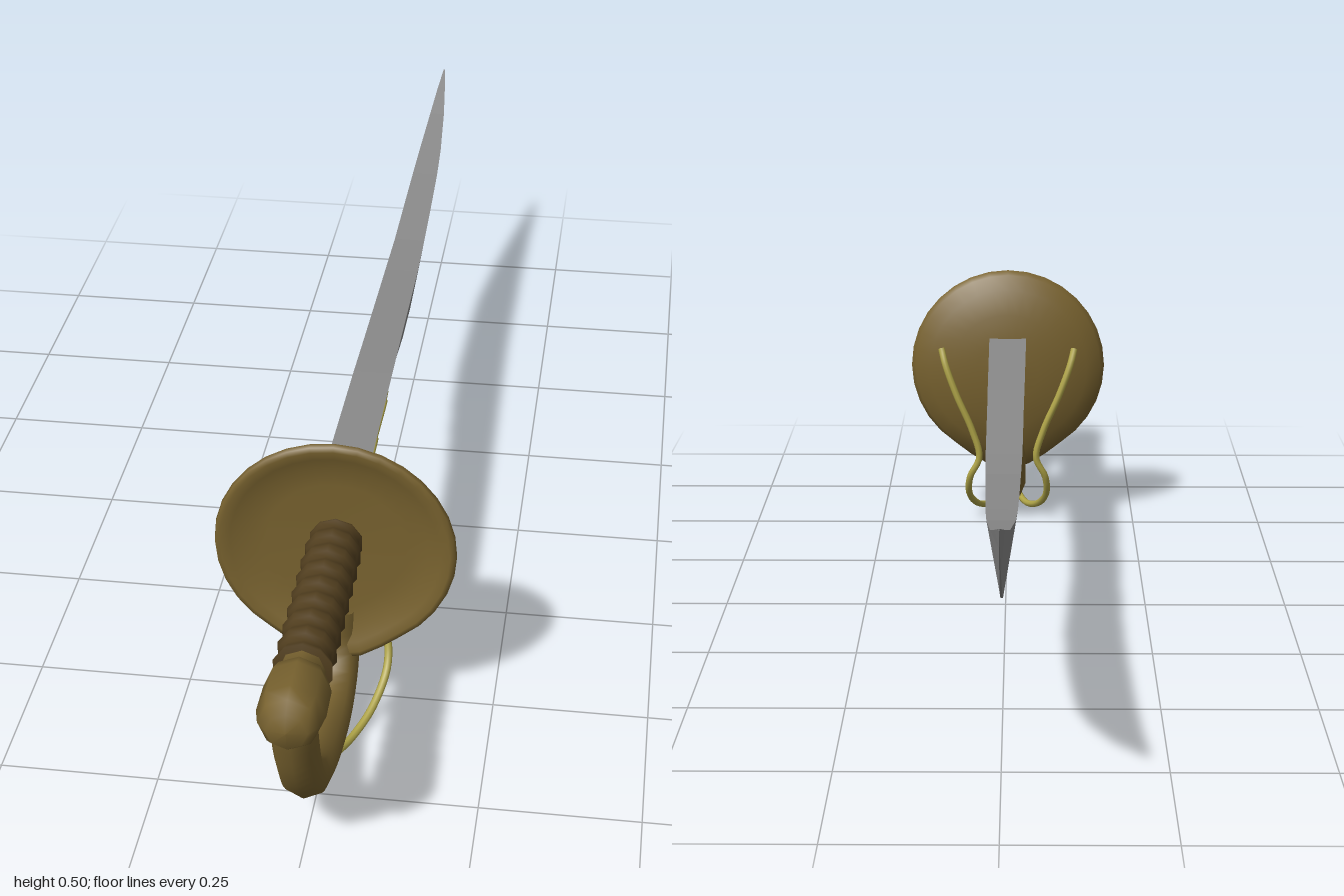
import * as THREE from 'three';

const material = (name, color, side = THREE.FrontSide) => {
  const m = new THREE.MeshStandardMaterial({ color, side });
  m.name = name;
  return m;
};

// Blade stations: z, spine height, edge height, half width of the spine
const STATIONS = [
  [0.5, 0.382, 0.257, 0.036], [0.1, 0.376, 0.266, 0.033], [0, 0.373, 0.26, 0.032],
  [-0.15, 0.368, 0.238, 0.031], [-0.29, 0.364, 0.22, 0.03], [-0.41, 0.365, 0.218, 0.028],
  [-0.55, 0.374, 0.231, 0.026], [-0.66, 0.382, 0.245, 0.024], [-0.75, 0.393, 0.282, 0.021],
  [-0.87, 0.417, 0.352, 0.014], [-0.95, 0.442, 0.415, 0.007], [-1, 0.459, 0.455, 0.001],
];
const EDGE = 0.08; // edge width as a share of the spine width

function bladeGeometry() {
  const pos = [], index = [];
  for (const [z, top, bottom, w] of STATIONS) {
    const e = w * EDGE;
    pos.push(-w, top, z, w, top, z, e, bottom, z, -e, bottom, z);
  }
  const last = STATIONS.length - 1;
  for (let i = 0; i < last; i++) {
    for (let k = 0; k < 4; k++) {
      const a = i * 4 + k, b = i * 4 + (k + 1) % 4;
      index.push(a, b, b + 4, a, b + 4, a + 4);
    }
  }
  const t = last * 4;
  index.push(0, 3, 2, 0, 2, 1, t, t + 1, t + 2, t, t + 2, t + 3);
  const g = new THREE.BufferGeometry();
  g.setAttribute('position', new THREE.Float32BufferAttribute(pos, 3));
  g.setIndex(index);
  const flat = g.toNonIndexed();
  flat.computeVertexNormals();
  return flat;
}

// Half width of the blade at a point on its side
function bladeSide(z, y) {
  let i = 0;
  while (i < STATIONS.length - 2 && z < STATIONS[i + 1][0]) i++;
  const A = STATIONS[i], B = STATIONS[i + 1];
  const t = (A[0] - z) / (A[0] - B[0]);
  const [top, bottom, w] = [1, 2, 3].map(k => A[k] + (B[k] - A[k]) * t);
  return w * (EDGE + (1 - EDGE) * (y - bottom) / (top - bottom));
}

// Lathe turned about the z axis; profile is [radius, z] from back to front
function turned(profile, sides) {
  const g = new THREE.LatheGeometry(profile.map(p => new THREE.Vector2(p[0], p[1])), sides);
  return g.rotateX(Math.PI / 2);
}

function tube(points, radius, steps, sides) {
  const curve = new THREE.CatmullRomCurve3(points.map(p => new THREE.Vector3(...p)));
  return new THREE.TubeGeometry(curve, steps, radius, sides);
}

export function createModel() {
  const model = new THREE.Group();
  const steel = material('steel', 0x8a8a8a);
  const brass = material('brass', 0x78622f);
  const leather = material('leather', 0x523f1f);
  const gold = material('gold', 0xb0a548, THREE.DoubleSide);

  const add = (name, geometry, mat, y = 0) => {
    const mesh = new THREE.Mesh(geometry, mat);
    mesh.name = name;
    mesh.position.y = y;
    model.add(mesh);
  };

  add('blade', bladeGeometry(), steel);

  // Dished guard, drawn out to a point at the bottom
  const guard = turned([
    [0, 0.482], [0.06, 0.485], [0.11, 0.493], [0.155, 0.507], [0.182, 0.524], [0.19, 0.536],
    [0.188, 0.544], [0.18, 0.546], [0.165, 0.542], [0.145, 0.534], [0.11, 0.529], [0, 0.527],
  ], 32);
  const p = guard.attributes.position;
  for (let i = 0; i < p.count; i++) {
    const x = p.getX(i), y = p.getY(i), r = Math.hypot(x, y);
    if (r < 0.1) continue;
    const s = 1 + 0.11 * Math.max(0, (-y / r - 0.89) / 0.11);
    p.setXY(i, x * s, y * s);
  }
  add('guard', guard, brass, 0.318);

  // Ribbed grip
  const ribs = [];
  for (let i = 0; i <= 32; i++) {
    ribs.push([0.042 + 0.0035 * Math.cos(i * Math.PI / 2), 0.52 + 0.33 * i / 32]);
  }
  add('grip', turned([[0, 0.52], ...ribs, [0, 0.852]], 10), leather, 0.323);

  // Collar and pommel
  add('pommel', turned([
    [0.034, 0.845], [0.034, 0.868], [0.042, 0.875], [0.049, 0.895], [0.05, 0.95],
    [0.044, 0.975], [0.03, 0.992], [0, 0.996],
  ], 8), brass, 0.324);

  // Knuckle bow from the pommel round to the foot of the guard
  add('knuckleBow', tube([
    [0, 0.325, 0.94], [0, 0.27, 0.928], [0, 0.2, 0.903], [0, 0.143, 0.865], [0, 0.097, 0.81],
    [0, 0.064, 0.715], [0, 0.054, 0.61], [0, 0.08, 0.545], [0, 0.125, 0.517], [0, 0.19, 0.512],
  ], 0.035, 32, 8), brass);

  // Scrollwork paths on the blade side, as [z, y]
  const scrolls = [
    [[0.495, 0.352], [0.46, 0.318], [0.4, 0.314], [0.35, 0.332], [0.3, 0.352], [0.262, 0.347],
      [0.258, 0.322], [0.29, 0.312], [0.31, 0.328], [0.285, 0.338]],
    [[0.47, 0.3], [0.43, 0.328], [0.37, 0.316], [0.31, 0.302], [0.25, 0.312], [0.2, 0.336],
      [0.155, 0.351], [0.11, 0.328], [0.04, 0.303]],
    [[0.49, 0.335], [0.44, 0.338], [0.39, 0.33], [0.33, 0.325], [0.27, 0.335]],
  ];
  for (const [side, label] of [[1, 'left'], [-1, 'right']]) {
    scrolls.forEach((path, i) => add(`${label}Scroll${i + 1}`,
      tube(path.map(([z, y]) => [side * bladeSide(z, y), y, z]), 0.005, 40, 6), gold));

    // Wire down the back of the guard and under the bow
    add(`${label}Wire`, tube([
      [0.13, 0.36, 0.495], [0.122, 0.33, 0.482], [0.1, 0.27, 0.474], [0.07, 0.2, 0.473],
      [0.056, 0.145, 0.473], [0.074, 0.105, 0.479], [0.077, 0.065, 0.503],
      [0.06, 0.025, 0.56], [0.035, 0.01, 0.62], [0.012, 0.025, 0.69],
    ].map(([x, y, z]) => [side * x, y, z]), 0.0065, 48, 8), gold);
  }
  return model;
}
